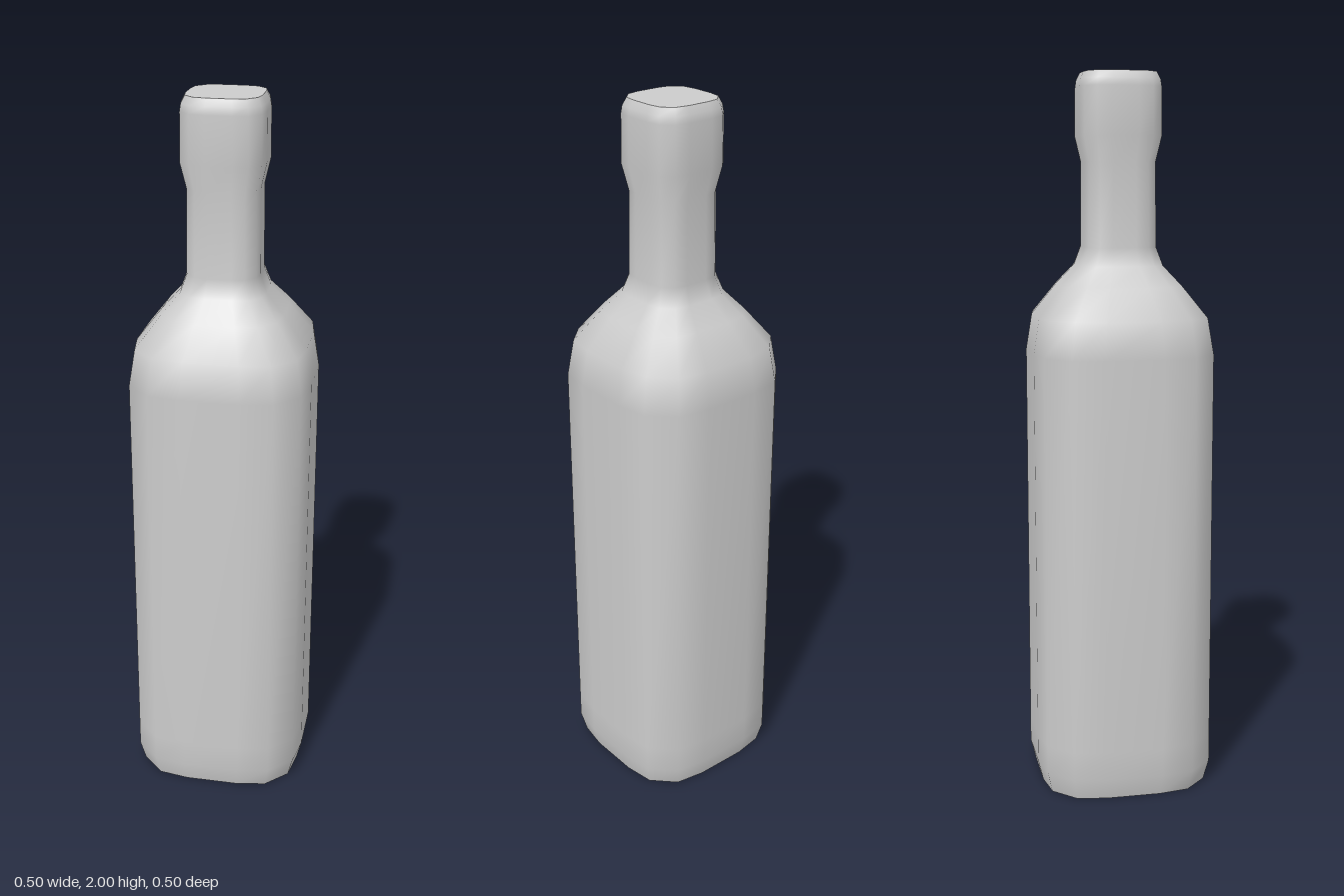
import * as THREE from 'three';

// One quarter of the rounded-square cross-section, for a half-width of 1
const QUARTER = [[1, 0.32], [0.94, 0.68], [0.68, 0.94], [0.32, 1]];

// Full 16-sided section: the quarter turned about the axis four times
const SECTION = [];
for (let q = 0; q < 4; q++) {
  const c = Math.round(Math.cos(q * Math.PI / 2)), s = Math.round(Math.sin(q * Math.PI / 2));
  for (const [x, z] of QUARTER) SECTION.push([x * c - z * s, x * s + z * c]);
}

// Half-width and height, from base to mouth
const PROFILE = [
  [0.235, 0], [0.25, 0.06], [0.25, 0.14], [0.25, 1.24], [0.234, 1.34],
  [0.168, 1.425], [0.118, 1.48], [0.1, 1.53], [0.098, 1.76],
  [0.114, 1.83], [0.113, 1.96], [0.11, 1.98], [0.1, 2],
];

// Smooth skin through the scaled sections
function loft(profile) {
  const n = SECTION.length, pos = [], idx = [];
  for (const [r, y] of profile) for (const [x, z] of SECTION) pos.push(x * r, y, z * r);
  for (let i = 0; i < profile.length - 1; i++) {
    for (let j = 0; j < n; j++) {
      const a = i * n + j, b = i * n + (j + 1) % n;
      idx.push(a, a + n, b, b, a + n, b + n);
    }
  }
  const g = new THREE.BufferGeometry();
  g.setAttribute('position', new THREE.Float32BufferAttribute(pos, 3));
  g.setIndex(idx);
  g.computeVertexNormals();
  return g;
}

// Flat end face, facing up or down
function endFace([r, y], up) {
  const shape = new THREE.Shape(SECTION.map(([x, z]) => new THREE.Vector2(x * r, z * r)));
  return new THREE.ShapeGeometry(shape).rotateX(up ? -Math.PI / 2 : Math.PI / 2).translate(0, y, 0);
}

export function createModel() {
  const group = new THREE.Group();
  group.name = 'bottle';
  const material = new THREE.MeshStandardMaterial({ color: 0xcccccc });
  const add = (name, geometry) => {
    const mesh = new THREE.Mesh(geometry, material);
    mesh.name = name;
    group.add(mesh);
  };
  // Body, shoulder, neck and collar in one skin
  add('bottleWall', loft(PROFILE));
  add('base', endFace(PROFILE[0], false));
  add('mouth', endFace(PROFILE[PROFILE.length - 1], true));
  return group;
}
